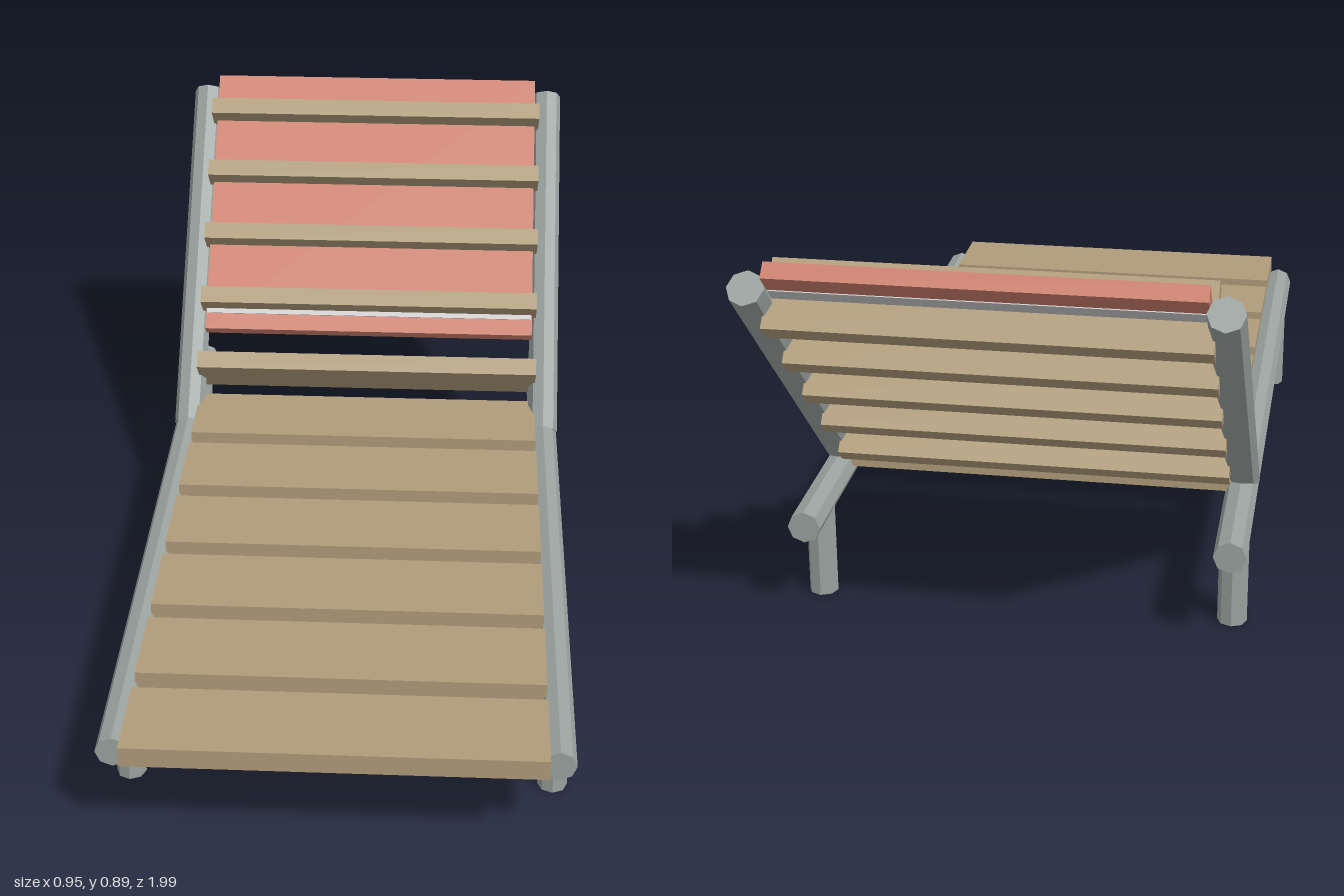
import * as THREE from 'three';

const mat = (color) => new THREE.MeshStandardMaterial({ color, flatShading: true });

export function createModel() {
  const model = new THREE.Group();
  const metal = mat(0x9aa3a0), wood = mat(0xb09c7a), fabric = mat(0xcc7f6c), grey = mat(0xcccccc);

  const add = (parent, name, geometry, material, x, y, z) => {
    const mesh = new THREE.Mesh(geometry, material);
    mesh.name = name;
    mesh.position.set(x, y, z);
    parent.add(mesh);
    return mesh;
  };
  const tube = (radius, length) => new THREE.CylinderGeometry(radius, radius, length, 8);

  // Reclined backrest: local y runs up the poles, local z faces the sitter
  const backrest = new THREE.Group();
  backrest.name = 'backrest';
  backrest.position.set(0, 0.215, -0.322);
  backrest.rotation.x = THREE.MathUtils.degToRad(-46);
  model.add(backrest);

  // Mirrored tubular frame
  for (const [side, s] of [['left', 1], ['right', -1]]) {
    const x = 0.438 * s;
    add(model, side + 'Rail', tube(0.034, 1.63), metal, x, 0.21, 0.135).rotation.x = Math.PI / 2;
    add(model, side + 'FrontLeg', tube(0.031, 0.21), metal, x, 0.105, 0.75);
    add(model, side + 'BackLeg', tube(0.031, 0.21), metal, x, 0.105, -0.55);
    add(backrest, side + 'BackPole', tube(0.036, 0.9), metal, x, 0.45, 0);
  }

  // Seat slats
  for (let i = 0; i < 6; i++) {
    add(model, 'seatSlat', new THREE.BoxGeometry(0.834, 0.044, 0.192), wood, 0, 0.239, 0.904 - i * 0.2395);
  }

  // Back slats stand on edge through the fabric panel
  for (let i = 0; i < 5; i++) {
    add(backrest, 'backSlat', new THREE.BoxGeometry(0.834, 0.042, 0.145), wood, 0, 0.137 + i * 0.17, 0.02);
  }
  add(backrest, 'backPanel', new THREE.BoxGeometry(0.814, 0.69, 0.034), fabric, 0, 0.578, 0.028);

  // Thin strips beside the lowest and highest slats of the panel
  add(backrest, 'lowerStrip', new THREE.BoxGeometry(0.81, 0.066, 0.004), grey, 0, 0.307, 0.045);
  add(backrest, 'upperStrip', new THREE.BoxGeometry(0.81, 0.035, 0.004), grey, 0, 0.855, 0.011);

  return model;
}
